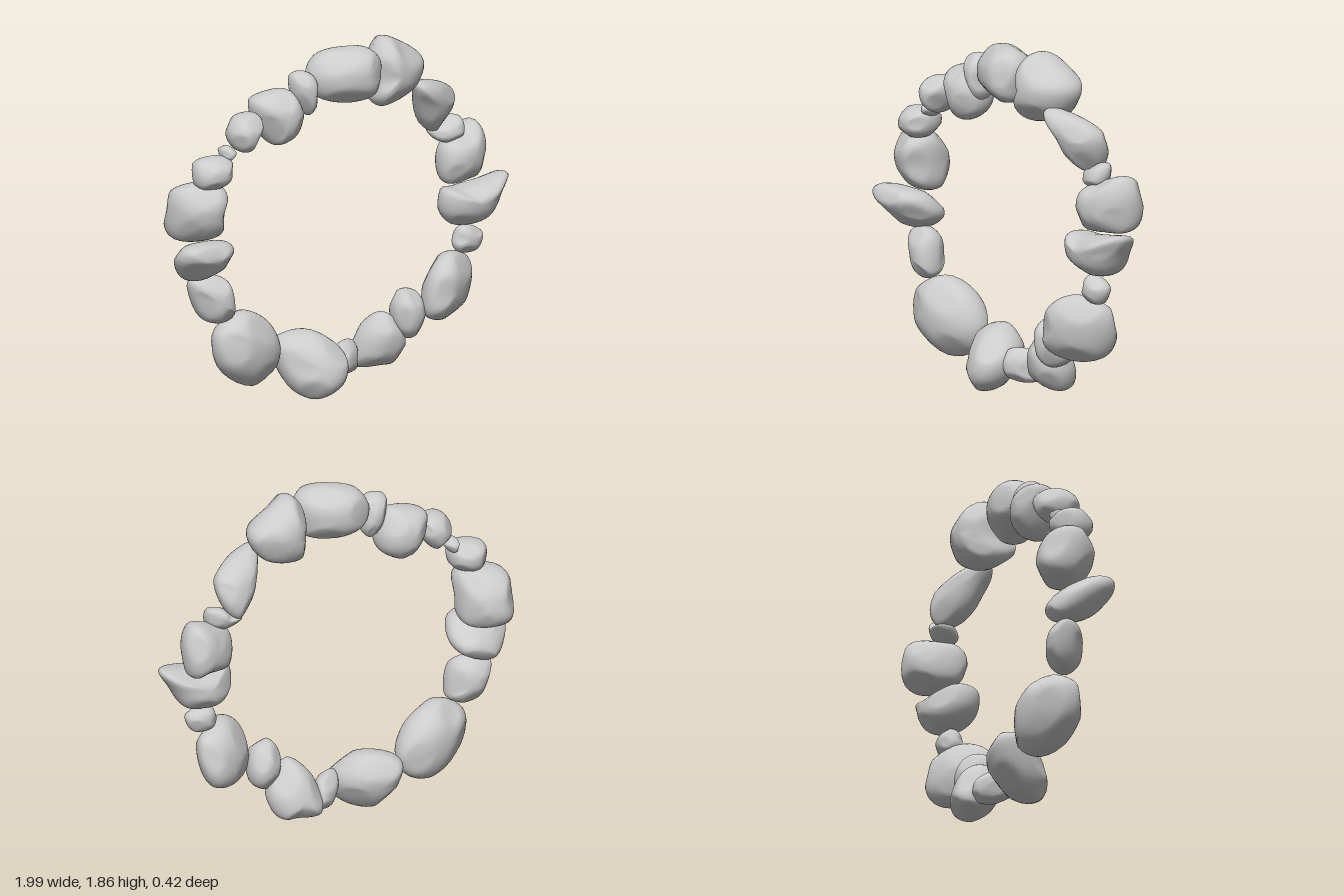
import * as THREE from 'three';
import { mergeVertices } from 'three/addons/utils/BufferGeometryUtils.js';

// Small seeded generator for the worn facets
function seeded(seed) {
  let s = seed * 7919 + 17;
  return () => (s = (s * 16807) % 2147483647) / 2147483647;
}

// A pebble: rounded body with worn facets, its rim following a closed outline
function pebbleGeometry(outline, depth, slopeX, slopeY, seed) {
  const raw = new THREE.SphereGeometry(1, 40, 22).rotateX(Math.PI / 2);
  raw.deleteAttribute('uv');
  raw.deleteAttribute('normal');
  const geometry = mergeVertices(raw, 1e-4);
  const rim = new THREE.CatmullRomCurve3(outline, true);
  const random = seeded(seed);

  // Directions of the worn facets, three in front and three behind
  const facets = [];
  const start = random() * Math.PI * 2;
  for (let i = 0; i < 6; i++) {
    const a = start + i * (Math.PI / 3) + (random() - 0.5) * 0.7;
    const z = (i % 2 ? -1 : 1) * (0.55 + random() * 0.2);
    const r = Math.sqrt(1 - z * z);
    facets.push(new THREE.Vector3(r * Math.cos(a), r * Math.sin(a), z));
  }

  const pos = geometry.attributes.position;
  const p = new THREE.Vector3();
  for (let i = 0; i < pos.count; i++) {
    p.fromBufferAttribute(pos, i);
    const flat = Math.hypot(p.x, p.y);
    if (flat > 1e-6) {
      const full = Math.pow(flat, 0.85) / flat;
      p.x *= full;
      p.y *= full;
    }
    for (const n of facets) {
      const over = p.dot(n) - 0.9;
      if (over > 0) p.addScaledVector(n, -over * 0.7);
    }
    const turn = (Math.atan2(p.y, p.x) / (Math.PI * 2) + 1) % 1;
    const edge = rim.getPoint(turn).multiplyScalar(Math.hypot(p.x, p.y));
    pos.setXYZ(i, edge.x, edge.y, p.z * depth + edge.x * slopeX + edge.y * slopeY);
  }
  geometry.computeVertexNormals();
  return geometry;
}

export function createModel() {
  const ring = new THREE.Group();
  ring.name = 'stoneRing';
  const material = new THREE.MeshStandardMaterial({ color: 0xcccccc });

  // Middle z, half depth, lean in z along x and y,
  // then the outline as x, y pairs in hundredths, anticlockwise from the +x side
  function stone(z, depth, slopeX, slopeY, coords) {
    const outline = [];
    const centre = new THREE.Vector3();
    for (let i = 0; i < coords.length; i += 2) {
      outline.push(new THREE.Vector3(coords[i] / 100, coords[i + 1] / 100, 0));
      centre.addScaledVector(outline[i / 2], 2 / coords.length);
    }
    outline.forEach((v) => v.sub(centre));
    const index = ring.children.length + 1;
    const mesh = new THREE.Mesh(pebbleGeometry(outline, depth, slopeX, slopeY, index), material);
    mesh.name = `stone${index}`;
    mesh.position.set(centre.x, centre.y, z);
    ring.add(mesh);
  }

  // Top and right side, going down
  stone(0.055, 0.145, 0.23, 0, [18, 166, 19, 178, 13, 184, 1, 185, -12, 182, -18, 172, -14, 161, 1, 156, 15, 159]);
  stone(0.02, 0.155, -0.15, 0, [51, 170, 37, 182, 26, 186, 19, 178, 19, 164, 18, 155, 23, 150, 43, 155]);
  stone(0, 0.11, -0.25, 0.3, [71, 145, 69, 151, 57, 158, 42, 160, 45, 149, 52, 134, 61, 128, 67, 133]);
  stone(-0.03, 0.075, 0.2, -0.3, [76, 126, 76, 134, 70, 135, 65, 132, 58, 129, 61, 124, 69, 122]);
  stone(-0.04, 0.14, -0.3, 0, [92, 113, 91, 124, 86, 130, 75, 127, 64, 121, 62, 109, 65, 101, 78, 100, 89, 102]);
  stone(0.04, 0.14, -0.08, 0.15, [95, 92, 100, 102, 86, 101, 70, 99, 61, 99, 60, 88, 66, 80, 77, 78, 88, 81]);
  stone(0.04, 0.065, 0, 0, [85, 72, 81, 76, 72, 78, 69, 73, 68, 68, 71, 64, 81, 64]);
  stone(0.05, 0.135, -0.45, 0.15, [80, 49, 78, 60, 63, 66, 52, 60, 47, 47, 48, 35, 61, 30, 74, 34]);

  // Bottom, going left
  stone(0.03, 0.11, -0.2, 0, [50, 37, 46, 47, 37, 49, 32, 42, 33, 30, 40, 23, 48, 27]);
  stone(-0.045, 0.125, 0.15, 0.25, [41, 19, 38, 29, 28, 38, 18, 30, 14, 18, 15, 9, 28, 8, 37, 9]);
  stone(-0.03, 0.08, -0.6, 0, [16, 16, 13, 24, 1, 25, -1, 17, 2, 10, 10, 8, 15, 10]);
  stone(-0.01, 0.16, 0.3, -0.3, [2, 17, -1, 26, -14, 34, -31, 29, -31, 17, -26, 5, -17, 0, -3, 6]);
  stone(-0.02, 0.14, -0.18, 0, [-32, 28, -40, 44, -56, 52, -68, 48, -74, 41, -71, 24, -51, 11, -37, 16]);

  // Left side, going up
  stone(-0.02, 0.1, 0.25, 0, [-63, 55, -66, 70, -74, 74, -85, 72, -85, 65, -79, 51, -71, 48, -64, 51]);
  stone(0.02, 0.135, -0.12, 0.65, [-65, 84, -68, 92, -78, 95, -97, 94, -99, 87, -90, 74, -82, 72, -68, 78]);
  stone(-0.05, 0.155, 0.22, 0.2, [-68, 108, -69, 120, -75, 124, -93, 121, -96, 108, -93, 95, -82, 92, -70, 95]);
  stone(0.01, 0.11, 0, 0, [-65, 130, -66, 136, -76, 138, -85, 135, -85, 124, -78, 121, -68, 124]);
  stone(0, 0.065, 0, 0, [-62, 139, -65, 142, -69, 141, -69, 136, -66, 134]);
  stone(0.015, 0.115, -0.15, 0, [-47, 152, -49, 157, -61, 157, -66, 150, -64, 142, -57, 138, -51, 143]);
  stone(-0.005, 0.135, 0.15, 0, [-23, 154, -29, 166, -36, 167, -49, 163, -49, 155, -41, 140, -36, 138, -25, 144]);
  stone(0.03, 0.09, 0, 0, [-15, 163, -17, 173, -24, 176, -29, 174, -28, 162, -20, 152, -16, 156]);

  return ring;
}
